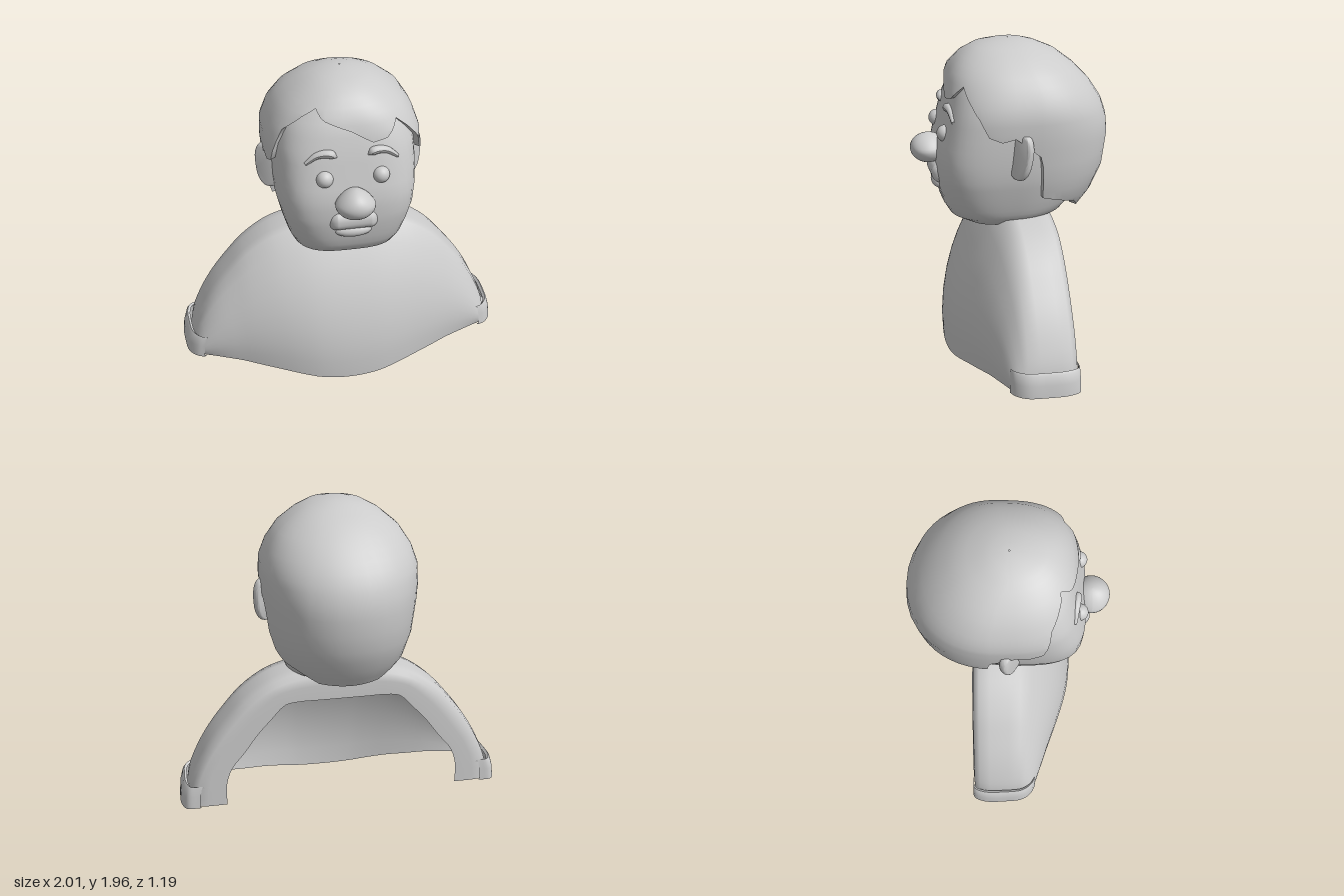
import * as THREE from 'three';
import { mergeVertices, toCreasedNormals } from 'three/addons/utils/BufferGeometryUtils.js';
import { RoundedBoxGeometry } from 'three/addons/geometries/RoundedBoxGeometry.js';

const material = new THREE.MeshStandardMaterial({ color: 0xcccccc, side: THREE.DoubleSide });
const { lerp, degToRad } = THREE.MathUtils;
const V = (x, y, z) => new THREE.Vector3(x, y, z);

function mesh(name, geometry, x = 0, y = 0, z = 0) {
  const m = new THREE.Mesh(geometry, material);
  m.name = name;
  m.position.set(x, y, z);
  return m;
}

// Skin a grid of points: rows run bottom to top, columns left to right
function skin(rows, crease) {
  const n = rows[0].length, index = [];
  for (let i = 0; i < rows.length - 1; i++) {
    for (let j = 0; j < n - 1; j++) {
      const a = i * n + j, c = a + n;
      index.push(a, a + 1, c, a + 1, c + 1, c);
    }
  }
  let g = new THREE.BufferGeometry().setFromPoints(rows.flat());
  g.setIndex(index);
  g = mergeVertices(g, 1e-4);
  g.computeVertexNormals();
  return crease ? toCreasedNormals(g, crease) : g;
}

// Point on a head-like form; table rows are [y, centre z, half width, front, back, front squareness]
function around(table, y, azimuth, inset = 1) {
  let i = 0;
  while (i < table.length - 2 && table[i + 1][0] < y) i++;
  const p = table[i], q = table[i + 1];
  const t = THREE.MathUtils.clamp((y - p[0]) / (q[0] - p[0]), 0, 1);
  const [, zc, a, f, b, square] = p.map((v, k) => lerp(v, q[k], t));
  const s = Math.sin(azimuth), c = Math.cos(azimuth);
  const power = c > 0 ? square : 2.15;
  const r = inset * (Math.abs(s / a) ** power + Math.abs(c / (c > 0 ? f : b)) ** power) ** (-1 / power);
  return V(r * s, y, zc + r * c);
}

// Heights of a table with the midpoints between them
const heights = (table) => table.flatMap(([y], i) => (i ? [(y + table[i - 1][0]) / 2, y] : [y]));

const headTable = [
  [0.855, 0.10, 0.005, 0.005, 0.005, 2.2], [0.862, 0.10, 0.15, 0.1, 0.16, 2.4], [0.885, 0.06, 0.25, 0.22, 0.25, 2.8],
  [0.94, 0, 0.32, 0.375, 0.33, 3.2], [1.0, 0, 0.345, 0.41, 0.39, 3.5], [1.1, 0, 0.375, 0.435, 0.44, 3.8],
  [1.2, 0, 0.40, 0.45, 0.47, 4], [1.32, 0, 0.412, 0.45, 0.5, 4], [1.45, 0, 0.415, 0.42, 0.5, 3.8],
  [1.6, 0, 0.41, 0.385, 0.45, 3.3], [1.75, 0, 0.36, 0.335, 0.36, 2.7], [1.88, 0, 0.21, 0.235, 0.2, 2.4],
  [1.92, 0, 0.005, 0.005, 0.005, 2.2],
];
const hairTable = [
  [0.93, -0.08, 0.30, 0.38, 0.35, 3.2], [1.05, -0.08, 0.385, 0.4, 0.43, 3.2], [1.2, -0.08, 0.43, 0.45, 0.495, 3.2],
  [1.4, -0.08, 0.455, 0.5, 0.52, 3.2], [1.5, -0.08, 0.462, 0.5, 0.51, 3.2], [1.6, -0.08, 0.46, 0.485, 0.475, 3.1],
  [1.7, -0.08, 0.425, 0.47, 0.41, 2.9], [1.8, -0.06, 0.36, 0.415, 0.335, 2.6], [1.88, -0.03, 0.265, 0.32, 0.26, 2.3],
  [1.93, 0, 0.175, 0.21, 0.18, 2.15], [1.955, 0, 0.09, 0.11, 0.1, 2.1], [1.965, 0, 0.004, 0.004, 0.004, 2],
];

function headGeometry() {
  return skin(heights(headTable).map((y) => Array.from({ length: 65 }, (_, j) =>
    around(headTable, y, (j % 64) / 64 * Math.PI * 2))));
}

// Hair cap: level rows from the crown, cut off at an uneven hairline (azimuth in degrees, height)
function hairGeometry() {
  const side = [[58, 1.49], [66, 1.46], [75, 1.48], [93, 1.36], [95, 1.3], [97, 1.09], [112, 1.06], [132, 1.02], [150, 0.95], [180, 0.94]];
  const fringe = [[-50, 1.7], [-38, 1.79], [-30, 1.835], [-20, 1.78], [0, 1.72], [8, 1.68], [14, 1.65], [24, 1.665], [35, 1.75], [45, 1.66], [52, 1.59]];
  const line = [...side.map(([a, y]) => [-a, y]).reverse(), ...fringe, ...side];
  const columns = [line[0]];
  for (let i = 1; i < line.length; i++) {
    for (let k = 1; k <= 3; k++) columns.push(line[i].map((v, c) => lerp(line[i - 1][c], v, k / 3)));
  }
  const rim = columns.map(([a, y]) => around(hairTable, y + 0.01, degToRad(a), 0.86));
  return skin([rim, ...heights(hairTable).map((h) => columns.map(([a, y]) =>
    around(hairTable, Math.max(h, y), degToRad(a))))], 0.9);
}

// Shoulder shell, open below and behind, spanned between three arches
function shouldersGeometry() {
  const arch = (half) => new THREE.CatmullRomCurve3([
    ...half.slice(1).reverse().map(([x, y, z]) => V(-x, y, z)), ...half.map((p) => V(...p))]);
  const crest = arch([[0, 0.96, 0], [0.2, 0.955, 0], [0.33, 0.93, 0], [0.46, 0.88, 0], [0.6, 0.78, 0],
    [0.7, 0.67, 0], [0.8, 0.54, 0], [0.88, 0.4, 0], [0.94, 0.25, 0], [0.955, 0.12, 0]]);
  const inner = arch([[0, 0.77, 0], [0.15, 0.77, 0], [0.27, 0.77, 0], [0.355, 0.755, 0], [0.44, 0.67, 0],
    [0.53, 0.57, 0], [0.61, 0.46, 0], [0.69, 0.36, 0], [0.725, 0.25, 0], [0.725, 0.12, 0]]);
  const hem = arch([[0, 0.005, 0.403], [0.17, 0.015, 0.392], [0.3, 0.04, 0.365], [0.42, 0.065, 0.328], [0.54, 0.085, 0.285],
    [0.65, 0.105, 0.245], [0.75, 0.115, 0.21], [0.83, 0.12, 0.18], [0.9, 0.12, 0.15], [0.945, 0.12, 0.12]]);
  const rows = Array.from({ length: 15 }, () => []);
  for (let j = 0; j <= 54; j++) {
    const t = j / 54, c = crest.getPoint(t), n = inner.getPoint(t), h = hem.getPoint(t);
    const top = (k, z) => c.clone().lerp(n, k).setZ(z);
    const front = top(0.04, 0.07);
    const pull = V(lerp(front.x, h.x, 0.4), lerp(front.y, h.y, 0.5), h.z + 0.04);
    const sheet = new THREE.QuadraticBezierCurve3(h, pull, front);
    const column = [...sheet.getPoints(8), top(0, 0), top(0, -0.12), top(0.05, -0.185),
      top(0.2, -0.22), top(0.5, -0.227), top(1, -0.227)];
    column.forEach((p, i) => rows[i].push(p));
  }
  return skin(rows);
}

// Cuff: a flared band wrapped round the sleeve end
function cuffGeometry() {
  const path = new THREE.CatmullRomCurve3([V(0.89, 0, 0.172), V(0.935, 0, 0.15), V(0.98, 0, 0.09), V(0.995, 0, -0.02),
    V(0.995, 0, -0.16), V(0.965, 0, -0.225), V(0.89, 0, -0.232)]).getPoints(28);
  const band = [[0.12, 0.97], [0.115, 1.0], [0.19, 0.99], [0.245, 0.975], [0.258, 0.96], [0.245, 0.94]];
  return skin(band.map(([y, s]) => path.map((p) => V(0.7 + (p.x - 0.7) * (1 + (s - 1) * 2.5) + (y < 0.2 ? 0.004 : 0),
    y, -0.03 + (p.z + 0.03) * (0.4 + 0.6 * s)))), 0.9);
}

function noseGeometry() {
  const g = new THREE.SphereGeometry(1, 28, 20), p = g.attributes.position;
  for (let i = 0; i < p.count; i++) {
    const y = p.getY(i);
    p.setX(i, p.getX(i) * (1 - 0.3 * Math.max(0, y)));
  }
  g.scale(0.117, 0.09, 0.107);
  g.computeVertexNormals();
  return g;
}

// Brow: a tube that thins toward its outer tip
function browGeometry() {
  const path = new THREE.CatmullRomCurve3([V(0.085, 1.57, 0.388), V(0.13, 1.595, 0.384), V(0.2, 1.588, 0.376), V(0.268, 1.54, 0.372)]);
  const g = new THREE.TubeGeometry(path, 20, 0.026, 10), p = g.attributes.position, v = V(0, 0, 0);
  for (let i = 0; i < p.count; i++) {
    const t = Math.floor(i / 11) / 20, c = path.getPointAt(t);
    v.fromBufferAttribute(p, i).sub(c).multiplyScalar(Math.min(1, t * 6) * (1 - 0.6 * t * t)).add(c);
    p.setXYZ(i, v.x, v.y, v.z);
  }
  g.computeVertexNormals();
  return g;
}

// Moustache: a rounded bar bent round the face, arched in the middle
function moustacheGeometry() {
  const g = new RoundedBoxGeometry(0.3, 0.12, 0.12, 6, 0.055), p = g.attributes.position;
  for (let i = 0; i < p.count; i++) {
    const x = p.getX(i);
    p.setZ(i, p.getZ(i) - 1.3 * x * x);
    p.setY(i, p.getY(i) + 0.012 * Math.cos(x * 20));
  }
  const m = mergeVertices(g.deleteAttribute('uv').deleteAttribute('normal'), 1e-4);
  m.computeVertexNormals();
  return m;
}

function earGeometry() {
  const outline = [[-0.04, 0.1], [0, 0.115], [0.06, 0.12], [0.085, 0.07], [0.085, 0], [0.07, -0.075], [0.03, -0.12], [-0.03, -0.09]];
  const shape = new THREE.Shape(new THREE.SplineCurve([...outline, outline[0]].map((p) => new THREE.Vector2(...p))).getPoints(32));
  const g = new THREE.ExtrudeGeometry(shape, { depth: 0.012, bevelThickness: 0.018, bevelSize: 0.015, bevelSegments: 4, steps: 1 });
  g.rotateY(0.6);
  g.rotateX(-0.08);
  return toCreasedNormals(g, 0.9);
}

export function createModel() {
  const model = new THREE.Group();
  model.name = 'bust';
  const lip = mesh('lowerLip', new THREE.SphereGeometry(1, 24, 14), 0, 1.11, 0.425);
  lip.scale.set(0.11, 0.04, 0.045);
  model.add(
    mesh('shoulders', shouldersGeometry()),
    mesh('head', headGeometry()),
    mesh('hair', hairGeometry()),
    mesh('nose', noseGeometry(), 0, 1.32, 0.485),
    mesh('moustache', moustacheGeometry(), 0, 1.19, 0.432),
    lip,
  );

  // Paired parts, mirrored across x = 0
  for (const [side, sign] of [['left', 1], ['right', -1]]) {
    const half = new THREE.Group();
    half.name = side + 'Side';
    half.add(
      mesh(side + 'Eye', new THREE.SphereGeometry(0.05, 24, 16), 0.163, 1.45, 0.405),
      mesh(side + 'Brow', browGeometry()),
      mesh(side + 'Ear', earGeometry(), 0.41, 1.36, 0.015),
      mesh(side + 'Cuff', cuffGeometry()),
    );
    half.scale.x = sign;
    model.add(half);
  }
  return model;
}
